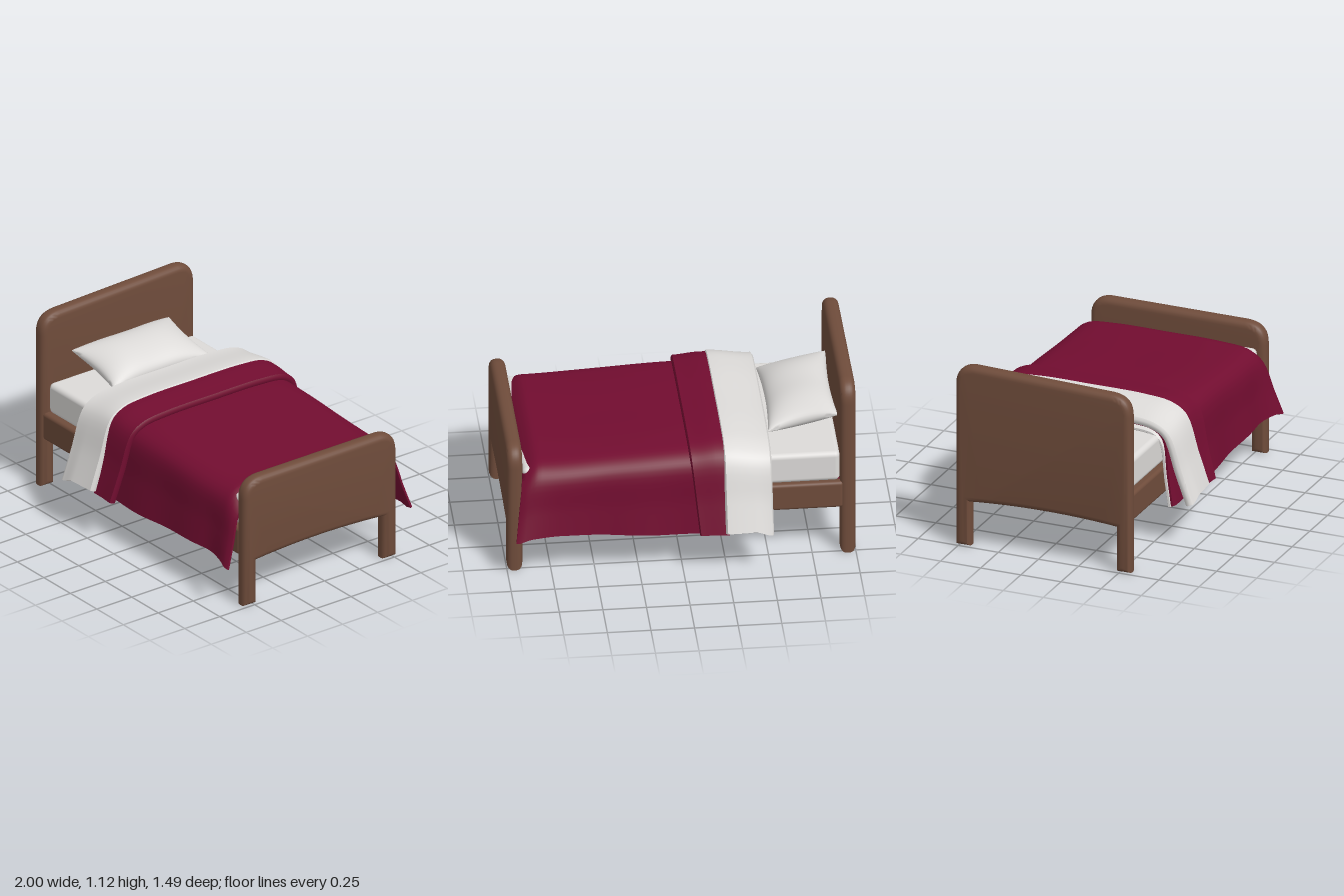
import * as THREE from 'three';
import { toCreasedNormals } from 'three/addons/utils/BufferGeometryUtils.js';
import { RoundedBoxGeometry } from 'three/addons/geometries/RoundedBoxGeometry.js';

const material = (name, color) => {
  const m = new THREE.MeshStandardMaterial({ color });
  m.name = name;
  return m;
};

// Head or foot board: rounded panel with two legs and an arched lower edge
function boardGeometry(yFront, yBack, xCentre) {
  const s = new THREE.Shape();
  s.moveTo(0.567, 0);
  s.lineTo(0.567, yFront - 0.13);
  s.bezierCurveTo(0.567, yFront - 0.05, 0.53, yFront - 0.005, 0.44, yFront);
  s.lineTo(-0.41, yBack);
  s.bezierCurveTo(-0.49, yBack - 0.005, -0.525, yBack - 0.05, -0.525, yBack - 0.13);
  s.lineTo(-0.525, 0);
  s.lineTo(-0.432, 0);
  s.lineTo(-0.432, 0.272);
  s.quadraticCurveTo(0.02, 0.312, 0.475, 0.272);
  s.lineTo(0.475, 0);
  s.closePath();
  const r = 0.036, depth = 0.09 - 2 * r;
  const g = new THREE.ExtrudeGeometry(s, {
    depth, bevelEnabled: true, bevelThickness: r, bevelSize: r, bevelOffset: -r,
    bevelSegments: 5, curveSegments: 12,
  });
  g.rotateY(-Math.PI / 2);
  g.translate(xCentre + depth / 2, 0, 0);
  return toCreasedNormals(g, 0.7);
}

// Thick cloth laid across the bed: cross-sections in z-y, lofted along x
function drapeGeometry({ x0, x1, top, shoulder, hemY, hemZ, thick, flare = 0, headFlare = 0, steps = 28 }) {
  const N = 57, pos = [], idx = [];
  for (let i = 0; i <= steps; i++) {
    const u = i / steps, x = x0 + (x1 - x0) * u;
    const t = top(x), hy = hemY(x), hz = hemZ(x);
    const half = [[hz, hy], [hz * 0.55 + shoulder * 0.45, hy * 0.55 + (t - 0.09) * 0.45],
      [shoulder, t - 0.085], [0.5, t - 0.025], [0.33, t - 0.003]];
    const pts = [
      ...half.map(([z, y]) => new THREE.Vector3(0, y, -z)),
      new THREE.Vector3(0, t, 0),
      ...half.reverse().map(([z, y]) => new THREE.Vector3(0, y, z)),
    ];
    const curve = new THREE.CatmullRomCurve3(pts, false, 'centripetal');
    const outer = [], inner = [];
    const k = i === 0 || i === steps ? 0.4 : 1;
    for (let j = 0; j < N; j++) {
      const p = curve.getPoint(j / (N - 1)), d = curve.getTangent(j / (N - 1));
      const drop = THREE.MathUtils.clamp((t - p.y) / (t - hy), 0, 1);
      const px = x + (flare * u + headFlare * (1 - u)) * drop;
      const wave = 0.006 * drop * Math.sin(x * 13 + Math.sign(p.z));
      const off = (q) => [px, p.y + d.z * q, p.z - d.y * q + wave * Math.sign(p.z)];
      outer.push(off(-thick * (1 - k) / 2));
      inner.push(off(-thick * (1 + k) / 2));
    }
    pos.push(...outer.flat(), ...inner.reverse().flat());
  }
  const L = 2 * N;
  for (let i = 0; i < steps; i++) for (let j = 0; j < L; j++) {
    const a = i * L + j, b = i * L + (j + 1) % L;
    idx.push(a, b, a + L, b, b + L, a + L);
  }
  for (let j = 0; j < N - 1; j++) {
    const o = j, o2 = j + 1, n = L - 1 - j, n2 = L - 2 - j, e = steps * L;
    idx.push(o, n, n2, o, n2, o2, e + o, e + n2, e + n, e + o, e + o2, e + n2);
  }
  const g = new THREE.BufferGeometry();
  g.setAttribute('position', new THREE.Float32BufferAttribute(pos, 3));
  g.setIndex(idx);
  return toCreasedNormals(g, 0.9);
}

// Pillow: two puffed sheets joined on a seam with pinched corners
function pillowGeometry(hx, hz, puff) {
  const n = 28, pos = [], idx = [];
  for (const side of [1, -1]) {
    const base = pos.length / 3;
    for (let i = 0; i <= n; i++) for (let j = 0; j <= n; j++) {
      const u = Math.sin((i / n - 0.5) * Math.PI), v = Math.sin((j / n - 0.5) * Math.PI);
      const h = Math.pow((1 - u * u) * (1 - v * v), 0.45) * (1 - 0.06 * Math.cos(v * 5));
      pos.push(hx * u * (0.91 + 0.09 * v * v), side * puff * h, hz * v * (0.92 + 0.08 * u * u));
    }
    for (let i = 0; i < n; i++) for (let j = 0; j < n; j++) {
      const a = base + i * (n + 1) + j, b = a + 1, c = a + n + 1, d = c + 1;
      if (side > 0) idx.push(a, b, c, b, d, c);
      else idx.push(a, c, b, b, c, d);
    }
  }
  const g = new THREE.BufferGeometry();
  g.setAttribute('position', new THREE.Float32BufferAttribute(pos, 3));
  g.setIndex(idx);
  return toCreasedNormals(g, 1.0);
}

export function createModel() {
  const wood = material('brown wood', 0x6f4c3b);
  const red = material('burgundy cloth', 0x720d30);
  const white = material('white linen', 0xdcdad8);

  const bed = new THREE.Group();
  bed.name = 'bed';
  const add = (name, geometry, mat, x = 0, y = 0, z = 0) => {
    const m = new THREE.Mesh(geometry, mat);
    m.name = name;
    m.position.set(x, y, z);
    bed.add(m);
    return m;
  };
  const lerp = THREE.MathUtils.lerp, smooth = THREE.MathUtils.smoothstep;

  // Frame
  add('headboard', boardGeometry(1.09, 1.115, -0.955), wood);
  add('footboard', boardGeometry(0.8, 0.8, 0.955), wood);
  for (const [name, z] of [['frontRail', 0.528], ['backRail', -0.492]])
    add(name, new RoundedBoxGeometry(1.86, 0.17, 0.06, 4, 0.02), wood, 0, 0.386, z);

  // Base and mattress
  add('bedBase', new THREE.BoxGeometry(1.84, 0.02, 1.0), red, 0, 0.458, 0.015);
  add('mattress', new RoundedBoxGeometry(1.82, 0.19, 1.035, 4, 0.03), white, 0, 0.565, 0.012);

  // Pillow leaning on the headboard
  const pillow = add('pillow', pillowGeometry(0.205, 0.35, 0.098), white, -0.715, 0.768, 0.01);
  pillow.rotation.z = -0.22;

  // Duvet with its lining
  add('duvetLining', drapeGeometry({
    x0: -0.5, x1: -0.1, thick: 0.03, shoulder: 0.555,
    top: () => 0.7, hemY: () => 0.232, hemZ: () => 0.605,
  }), white);
  add('duvet', drapeGeometry({
    x0: -0.5, x1: 0.91, thick: 0.03, shoulder: 0.568, flare: 0.05, steps: 60,
    top: (x) => lerp(0.735, 0.7, smooth(x, -0.1, 0.85)) - 0.05 * smooth(x, 0.82, 0.92),
    hemY: (x) => lerp(0.24, 0.28, smooth(x, -0.1, 0.8)) - 0.02 * smooth(x, 0.82, 0.91),
    hemZ: (x) => 0.622 + 0.05 * smooth(x, 0.65, 0.92),
  }), red);

  // Turned-back top edge
  add('duvetFold', drapeGeometry({
    x0: -0.26, x1: -0.04, thick: 0.04, shoulder: 0.585, flare: -0.05,
    top: (x) => lerp(0.785, 0.772, smooth(x, -0.2, -0.04)),
    hemY: () => 0.272, hemZ: () => 0.705,
  }), red);
  add('sheetFold', drapeGeometry({
    x0: -0.51, x1: -0.235, thick: 0.045, shoulder: 0.592,
    top: (x) => lerp(0.762, 0.792, smooth(x, -0.5, -0.24)),
    hemY: (x) => 0.3 - 0.03 * smooth(-x, 0.4, 0.5), hemZ: () => 0.738,
  }), white);

  return bed;
}
